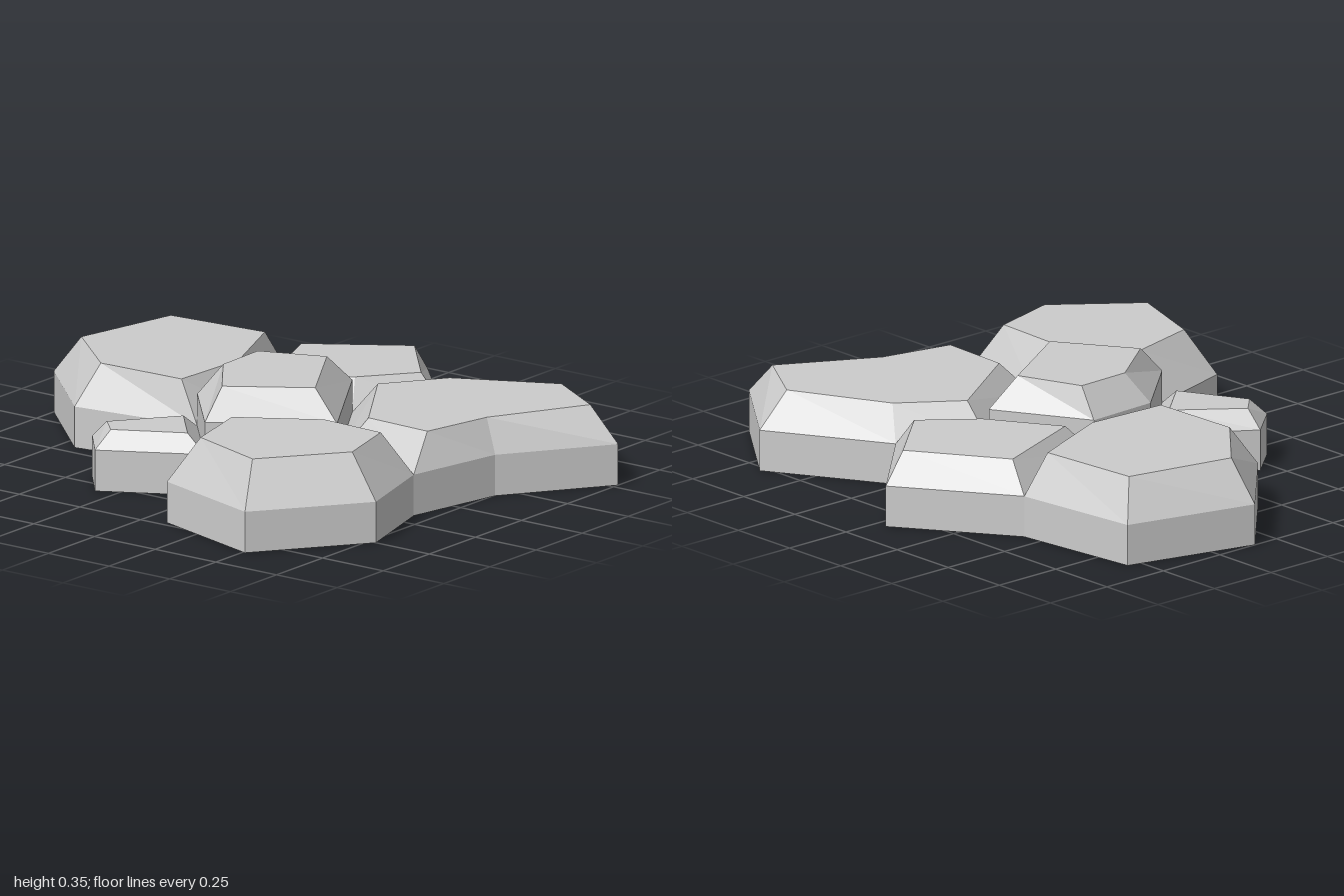
import * as THREE from 'three';

// Each stone: base outline and smaller top outline as [x, z], clockwise from above
const STONES = [
  { name: 'leftStone', wall: 0.14, height: 0.275,
    base: [[-0.88, -0.55], [-0.43, -0.6], [-0.24, -0.12], [-0.23, 0.14], [-0.69, 0.2], [-1, -0.095]],
    top: [[-0.81, -0.48], [-0.445, -0.51], [-0.31, -0.19], [-0.325, 0.1], [-0.65, 0.11], [-0.89, -0.1]] },
  { name: 'backStone', wall: 0.14, height: 0.24,
    base: [[-0.43, -0.6], [-0.045, -0.865], [0.26, -0.545], [0.075, -0.3], [-0.24, -0.12]],
    top: [[-0.34, -0.57], [-0.03, -0.775], [0.18, -0.535], [0.04, -0.36], [-0.2, -0.21]] },
  { name: 'rightStone', wall: 0.14, height: 0.255,
    base: [[0.075, -0.3], [0.26, -0.545], [0.665, -0.78], [1, -0.525], [0.755, -0.18], [0.685, 0.17], [0.35, 0.145]],
    top: [[0.18, -0.3], [0.325, -0.5], [0.66, -0.665], [0.885, -0.525], [0.705, -0.2], [0.65, 0.05], [0.4, 0.04]] },
  { name: 'frontStone', wall: 0.14, height: 0.29,
    base: [[-0.005, 0.395], [0.35, 0.145], [0.685, 0.17], [0.78, 0.5], [0.51, 0.855], [0.09, 0.725]],
    top: [[0.11, 0.4], [0.37, 0.24], [0.61, 0.25], [0.675, 0.49], [0.465, 0.755], [0.175, 0.655]] },
  { name: 'centreStone', wall: 0.25, height: 0.35,
    base: [[0.075, -0.3], [0.35, 0.145], [-0.005, 0.395], [-0.23, 0.14], [-0.24, -0.12]],
    top: [[0.05, -0.195], [0.245, 0.125], [-0.01, 0.295], [-0.165, 0.085], [-0.17, -0.11]] },
  { name: 'smallStone', wall: 0.14, height: 0.2,
    base: [[-0.23, 0.14], [-0.005, 0.395], [-0.325, 0.57], [-0.435, 0.44]],
    top: [[-0.215, 0.235], [-0.08, 0.39], [-0.305, 0.51], [-0.375, 0.44]] },
];

// Upright wall, sloping bevel and flat caps
function stoneGeometry({ base, top, wall, height }) {
  const pos = [];
  const ring = (outline, y) => outline.map(([x, z]) => [x, y, z]);
  const tri = (...corners) => corners.forEach((c) => pos.push(...c));

  const band = (lower, upper) => lower.forEach((a, i) => {
    const j = (i + 1) % lower.length;
    tri(a, upper[i], upper[j]);
    tri(a, upper[j], lower[j]);
  });

  const cap = (points, up) => {
    const flat = points.map(([x, , z]) => new THREE.Vector2(x, -z));
    for (const [a, b, c] of THREE.ShapeUtils.triangulateShape(flat, [])) {
      const facesUp = THREE.ShapeUtils.area([flat[a], flat[b], flat[c]]) > 0;
      if (facesUp === up) tri(points[a], points[b], points[c]);
      else tri(points[a], points[c], points[b]);
    }
  };

  const foot = ring(base, 0), shoulder = ring(base, wall), crown = ring(top, height);
  band(foot, shoulder);
  band(shoulder, crown);
  cap(crown, true);
  cap(foot, false);

  const geometry = new THREE.BufferGeometry();
  geometry.setAttribute('position', new THREE.Float32BufferAttribute(pos, 3));
  geometry.computeVertexNormals();
  return geometry;
}

export function createModel() {
  const group = new THREE.Group();
  group.name = 'steppingStones';
  const material = new THREE.MeshStandardMaterial({ color: 0xcccccc, flatShading: true });
  for (const stone of STONES) {
    const mesh = new THREE.Mesh(stoneGeometry(stone), material);
    mesh.name = stone.name;
    group.add(mesh);
  }
  return group;
}
